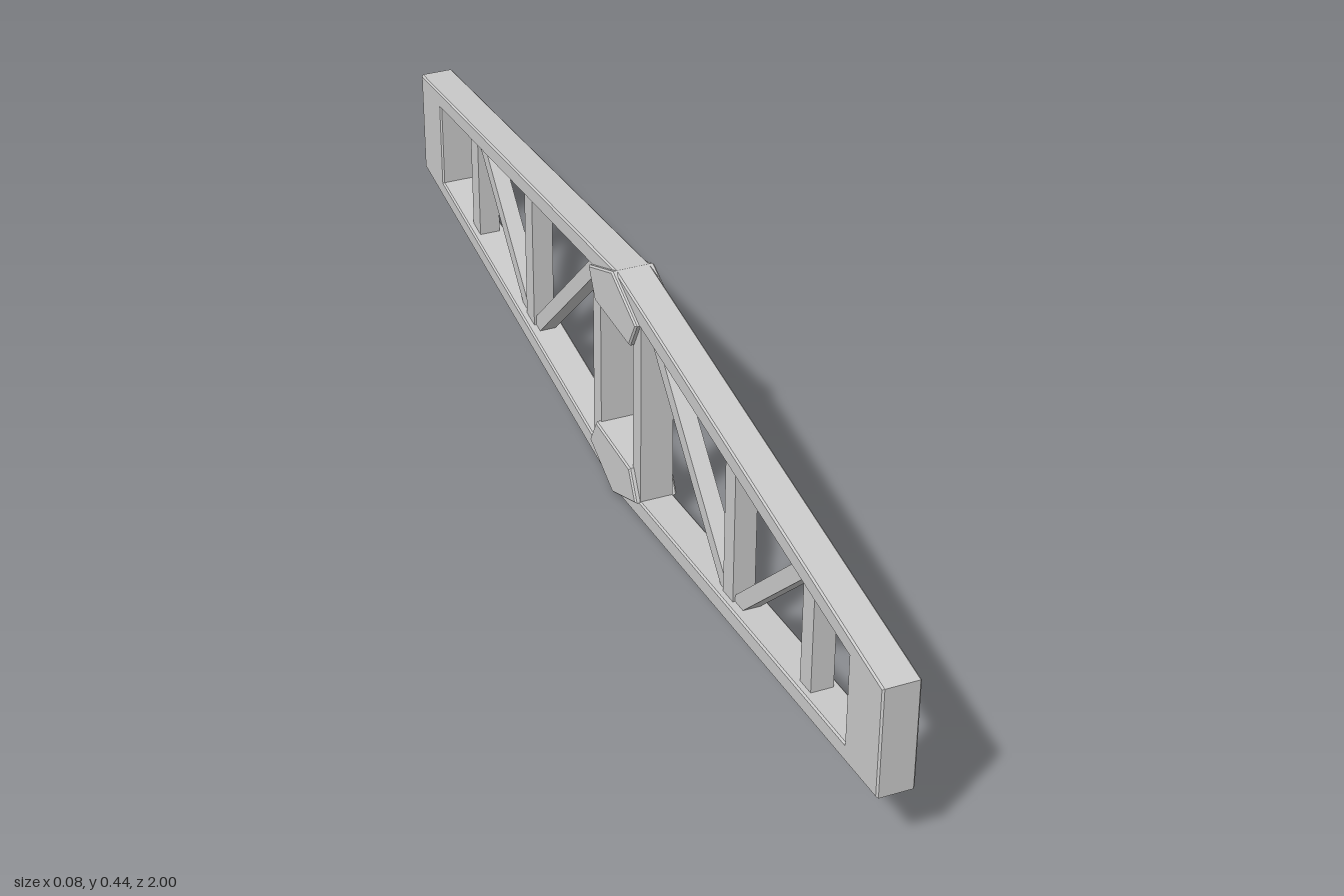
import * as THREE from 'three';

const material = new THREE.MeshStandardMaterial({ color: 0xcccccc, flatShading: true });
const MID = 0.2225; // height of the horizontal symmetry line

// Plate outlined in (z, height from the symmetry line), centred on x with chamfered edges
function plate(name, outline, width, bevel, opening) {
  const toPoints = (list) => list.map(([z, h]) => new THREE.Vector2(z, h + MID));
  const shape = new THREE.Shape(toPoints(outline));
  if (opening) shape.holes.push(new THREE.Path(toPoints(opening)));
  const depth = width - 2 * bevel;
  const geometry = new THREE.ExtrudeGeometry(shape, {
    depth, bevelEnabled: true, bevelThickness: bevel, bevelSize: bevel,
    bevelOffset: -bevel, bevelSegments: 1,
  });
  geometry.translate(0, 0, -depth / 2).rotateY(-Math.PI / 2);
  const mesh = new THREE.Mesh(geometry, material);
  mesh.name = name;
  return mesh;
}

// Straight bar between two (z, height) points
function bar(name, [z0, h0], [z1, h1], width, thickness) {
  const length = Math.hypot(z1 - z0, h1 - h0);
  const mesh = new THREE.Mesh(new THREE.BoxGeometry(width, length, thickness), material);
  mesh.position.set(0, MID + (h0 + h1) / 2, (z0 + z1) / 2);
  mesh.rotation.x = Math.atan2(z1 - z0, h1 - h0);
  mesh.name = name;
  return mesh;
}

export function createModel() {
  const group = new THREE.Group();
  group.name = 'trussBeam';

  // Outer frame: sloping chords and solid ends around one opening
  group.add(plate('frame',
    [[1, -0.1], [1, 0.1], [0, 0.22], [-1, 0.1], [-1, -0.1], [0, -0.22]], 0.062, 0.003,
    [[0.892, -0.081], [0, -0.185], [-0.892, -0.081], [-0.892, 0.081], [0, 0.185], [0.892, 0.081]]));

  // Hub blocks at the top and bottom of the centre
  for (const s of [1, -1]) {
    const outline = [[0, 0.2205], [0.105, 0.175], [0.076, 0.122], [-0.076, 0.122], [-0.105, 0.175]];
    group.add(plate(s > 0 ? 'topHub' : 'bottomHub', outline.map(([z, h]) => [z, h * s]), 0.076, 0.003));
  }

  // Posts and diagonal braces, mirrored front to back
  for (const s of [1, -1]) {
    const end = s > 0 ? 'front' : 'back';
    group.add(
      bar(end + 'CentrePost', [0.089 * s, -0.185], [0.089 * s, 0.185], 0.058, 0.034),
      bar(end + 'MiddlePost', [0.446 * s, -0.14], [0.446 * s, 0.14], 0.038, 0.038),
      bar(end + 'OuterPost', [0.733 * s, -0.11], [0.733 * s, 0.11], 0.038, 0.038),
      bar(end + 'InnerBrace', [0.105 * s, 0.182], [0.435 * s, -0.145], 0.03, 0.028),
      bar(end + 'OuterBrace', [0.715 * s, 0.112], [0.46 * s, -0.143], 0.03, 0.028),
    );
  }
  return group;
}
